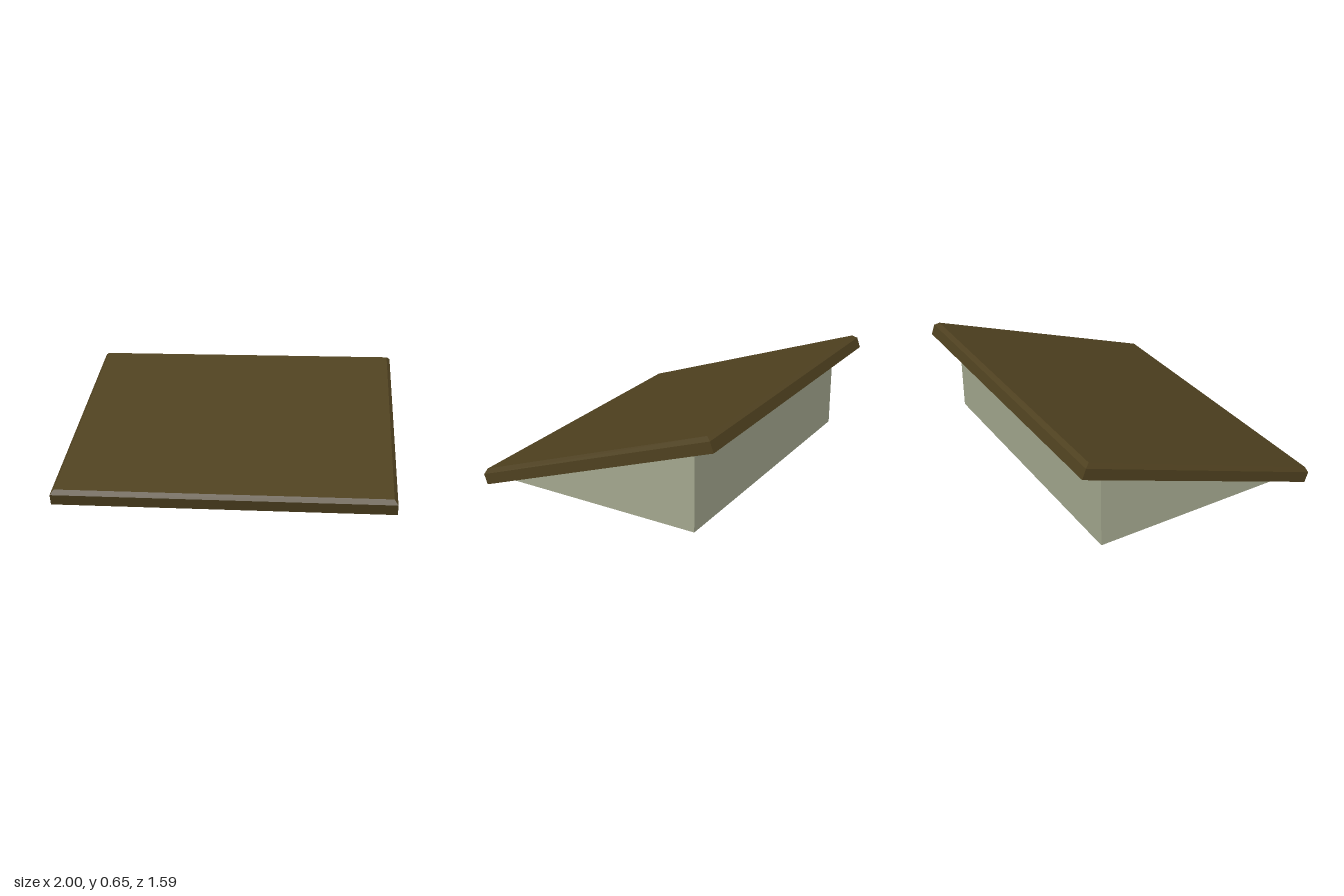
import * as THREE from 'three';

const SLOPE = Math.atan2(0.575, 1.57);

// Flat slab whose upper rim is chamfered on all four sides
function chamferedSlab(width, length, wall, height, inset) {
  const geo = new THREE.BoxGeometry(width, height, length, 1, 2, 1);
  const p = geo.attributes.position;
  for (let i = 0; i < p.count; i++) {
    const y = p.getY(i);
    if (y > 0.001) {
      p.setX(i, p.getX(i) - Math.sign(p.getX(i)) * inset);
      p.setZ(i, p.getZ(i) - Math.sign(p.getZ(i)) * inset);
    }
    p.setY(i, y > 0.001 ? height : y < -0.001 ? 0 : wall);
  }
  const flat = geo.toNonIndexed();
  flat.computeVertexNormals();
  return flat;
}

export function createModel() {
  const model = new THREE.Group();
  model.name = 'slopedRoof';

  // Sloping roof panel, low edge at the front
  const roof = new THREE.Mesh(
    chamferedSlab(2, 1.672, 0.067, 0.0925, 0.022),
    new THREE.MeshStandardMaterial({ color: 0x4e401f, flatShading: true })
  );
  roof.name = 'roofPanel';
  roof.rotation.x = SLOPE;
  roof.position.set(0, 0.2875, -0.01);
  model.add(roof);

  // Wedge-shaped body filling the space below the panel
  const profile = new THREE.Shape([
    new THREE.Vector2(-0.693, 0.03),
    new THREE.Vector2(0.635, 0.03),
    new THREE.Vector2(0.635, 0.516),
  ]);
  const wedge = new THREE.ExtrudeGeometry(profile, { depth: 1.84, bevelEnabled: false });
  wedge.translate(0, 0, -0.92).rotateY(Math.PI / 2);
  const body = new THREE.Mesh(
    wedge,
    new THREE.MeshStandardMaterial({ color: 0xa3a78e, flatShading: true })
  );
  body.name = 'wedgeBody';
  model.add(body);

  return model;
}
